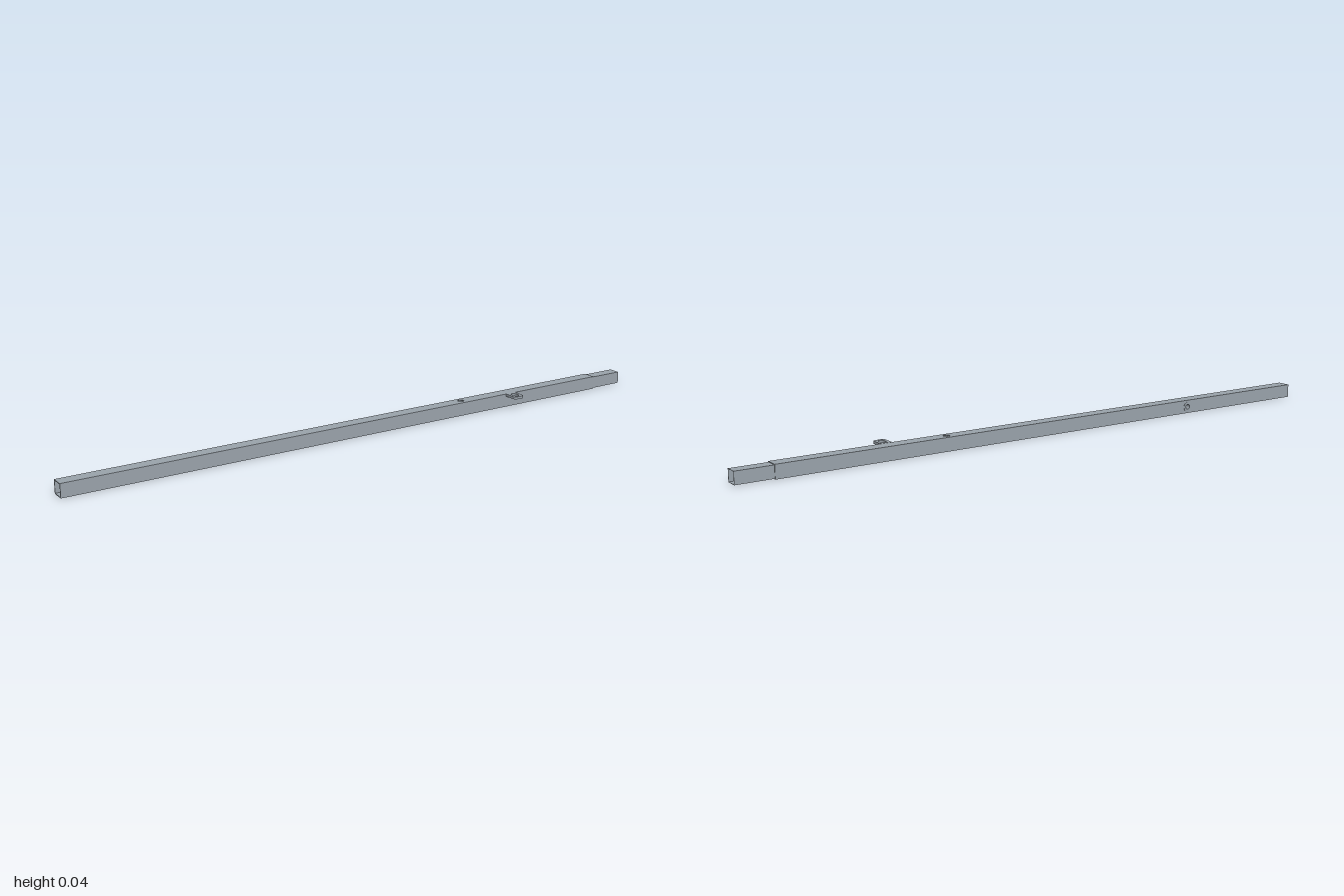
import * as THREE from 'three';

const W = 0.042, CY = W / 2, CZ = -0.0225;
const material = new THREE.MeshStandardMaterial({ color: 0x9aa3ab, side: THREE.DoubleSide });

function add(parent, name, geometry) {
  const mesh = new THREE.Mesh(geometry, material);
  mesh.name = name;
  parent.add(mesh);
  return mesh;
}

function rectangle(x0, y0, x1, y1) {
  return new THREE.Shape([[x0, y0], [x1, y0], [x1, y1], [x0, y1]].map(p => new THREE.Vector2(...p)));
}

// Hollow square tube along x; each wall may carry a round hole {x, r}
function squareTube(name, x0, x1, width, thickness, holes = {}) {
  const tube = new THREE.Group();
  tube.name = name;
  ['front', 'top', 'back', 'bottom'].forEach((side, i) => {
    const h = width / 2 - (i % 2 ? thickness : 0);
    const shape = rectangle(x0, -h, x1, h);
    const hole = holes[side];
    if (hole) shape.holes.push(new THREE.Path().absarc(hole.x, 0, hole.r, 0, Math.PI * 2, true));
    const wall = new THREE.ExtrudeGeometry(shape, { depth: thickness, bevelEnabled: false, curveSegments: 12 });
    wall.translate(0, 0, width / 2 - thickness);
    wall.rotateX(-i * Math.PI / 2);
    add(tube, side + 'Wall', wall);
  });
  tube.position.set(0, CY, CZ);
  return tube;
}

export function createModel() {
  const model = new THREE.Group();
  model.name = 'telescopicTube';

  // Long outer tube with a cross-drilled pin hole and a threaded insert at the back
  const pin = { x: 0.343, r: 0.01 };
  model.add(squareTube('outerTube', -1, 0.885, W, 0.0025, {
    top: pin, bottom: pin, back: { x: -0.55, r: 0.0125 },
  }));

  // Slightly narrower inner tube showing at the +x end
  model.add(squareTube('innerTube', 0.7, 1, 0.038, 0.001));

  // Hollow threaded insert: a thin flange outside the back wall, a sleeve inside
  const profile = [[0.008, 0], [0.0155, 0], [0.0155, 0.0015], [0.0125, 0.0015],
    [0.0125, 0.036], [0.008, 0.036], [0.008, 0]].map(p => new THREE.Vector2(...p));
  const lathe = new THREE.LatheGeometry(profile, 24).toNonIndexed();
  lathe.computeVertexNormals();
  const insert = add(model, 'threadedInsert', lathe);
  insert.rotation.x = Math.PI / 2;
  insert.position.set(-0.55, CY, -0.045);

  // Round plug inside the tube, beyond the insert
  const plug = add(model, 'plug', new THREE.CylinderGeometry(0.018, 0.018, 0.01, 24));
  plug.rotation.z = Math.PI / 2;
  plug.position.set(-0.6, CY, CZ);

  // Flat slotted eye on the front, level with the top face
  const h = 0.0185, r = 0.009, back = -0.002, end = 0.045;
  const outline = new THREE.Shape();
  outline.moveTo(-h, back);
  outline.lineTo(h, back);
  outline.lineTo(h, end - r);
  outline.absarc(h - r, end - r, r, 0, Math.PI / 2);
  outline.lineTo(-h + r, end);
  outline.absarc(-h + r, end - r, r, Math.PI / 2, Math.PI);
  outline.closePath();
  const slot = new THREE.Path();
  slot.absarc(0, 0.027, 0.0085, 0, Math.PI);
  slot.absarc(0, 0.014, 0.0085, Math.PI, Math.PI * 2);
  slot.closePath();
  outline.holes.push(slot);
  const eye = add(model, 'slottedEye',
    new THREE.ExtrudeGeometry(outline, { depth: 0.008, bevelEnabled: false, curveSegments: 8 }));
  eye.rotation.x = Math.PI / 2;
  eye.position.set(0.528, W + 0.0005, 0);

  return model;
}
